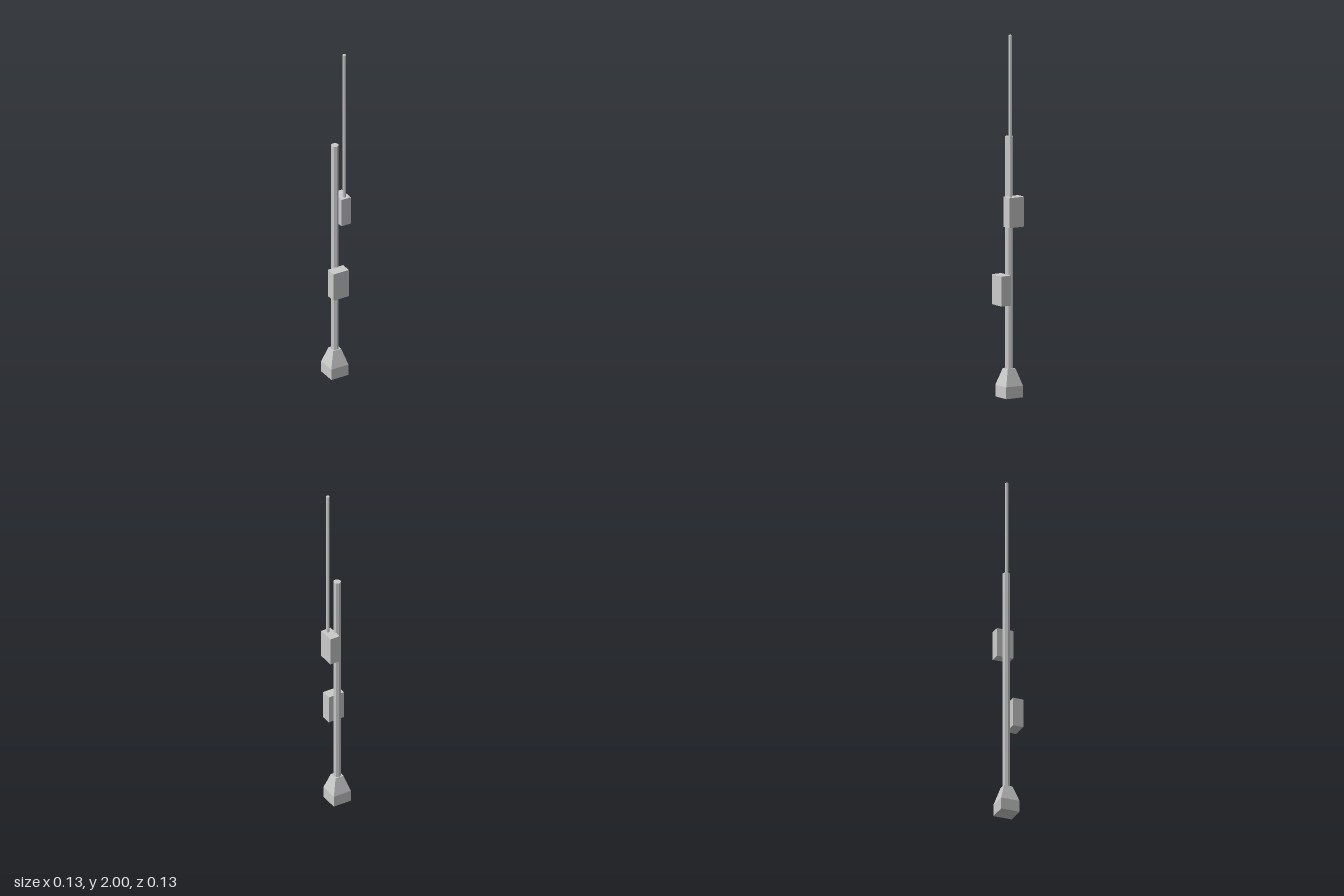
import * as THREE from 'three';

export function createModel() {
  const group = new THREE.Group();
  const material = new THREE.MeshStandardMaterial({ color: 0xcccccc, flatShading: true });
  const poleX = -0.01, poleZ = -0.0125;

  function add(name, geometry, x, y, z) {
    const mesh = new THREE.Mesh(geometry, material);
    mesh.name = name;
    mesh.position.set(x, y, z);
    group.add(mesh);
    return mesh;
  }

  // Upright rod between two heights
  function rod(name, radius, y0, y1, x, z) {
    add(name, new THREE.CylinderGeometry(radius, radius, y1 - y0, 8), x, (y0 + y1) / 2, z);
  }

  // Box given by its lower and upper corners
  function box(name, [x0, y0, z0], [x1, y1, z1]) {
    add(name, new THREE.BoxGeometry(x1 - x0, y1 - y0, z1 - z0),
      (x0 + x1) / 2, (y0 + y1) / 2, (z0 + z1) / 2);
  }

  // Square footing: straight plinth with a tapered upper part
  const half = 0.054, topHalf = 0.025, plinthTop = 0.065, footingTop = 0.158;
  const h = half * Math.SQRT2, t = topHalf * Math.SQRT2;
  const profile = [[0, 0], [h, 0], [h, plinthTop], [t, footingTop], [0, footingTop]]
    .map(([r, y]) => new THREE.Vector2(r, y));
  add('footing', new THREE.LatheGeometry(profile, 4, Math.PI / 4), poleX, 0, poleZ);

  // Main pole and the thin mast standing on the upper box
  rod('pole', 0.0215, 0.15, 1.435, poleX, poleZ);
  rod('antenna', 0.01, 1.1, 2, 0.0355, 0.01);

  // Equipment boxes on the front and the left of the pole
  box('lowerBox', [-0.064, 0.51, 0.004], [0.033, 0.675, 0.064]);
  box('upperBox', [0.004, 0.943, -0.062], [0.063, 1.108, 0.034]);

  return group;
}
